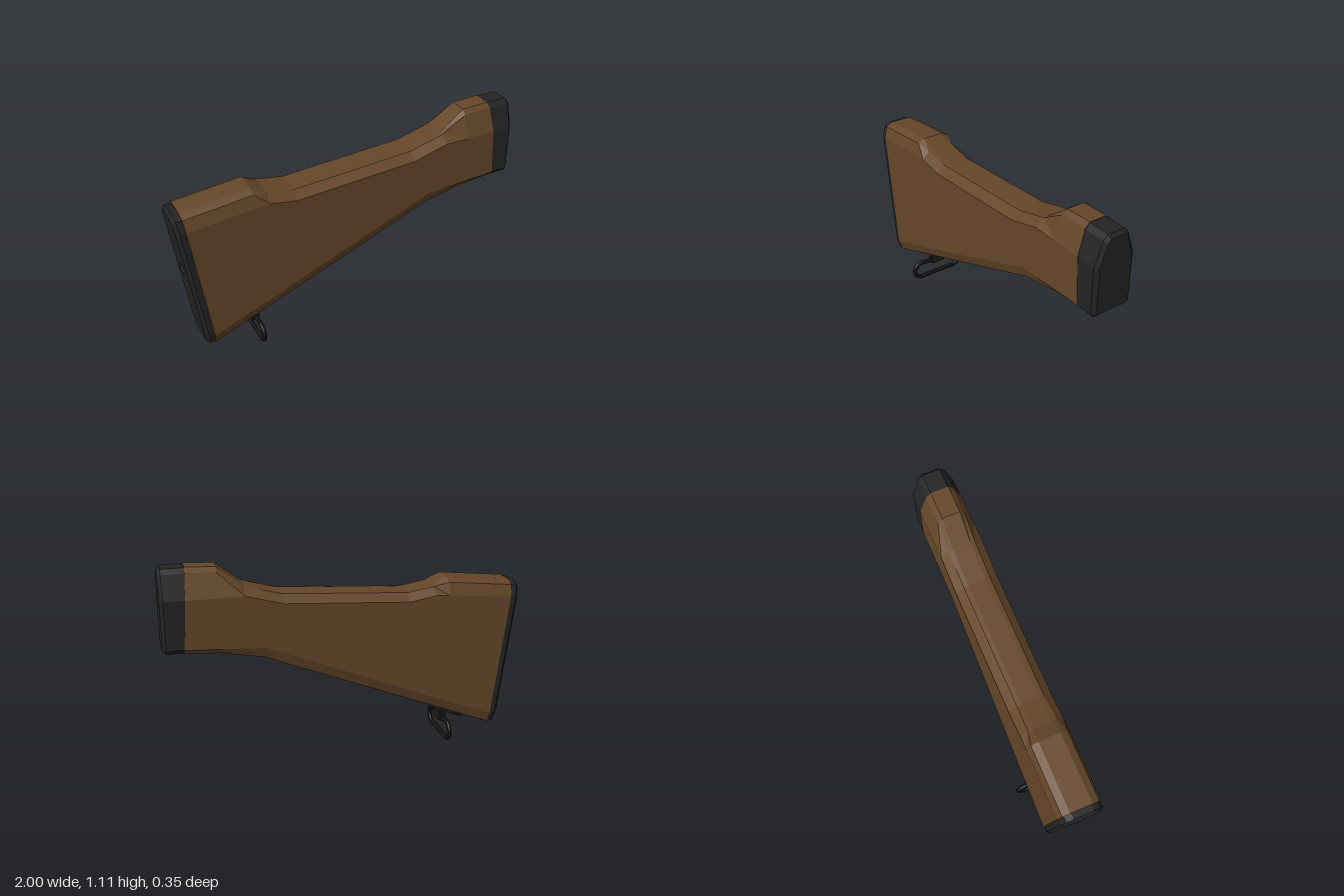
import * as THREE from 'three';

// Mirror a half outline of [x, y, z] points (top to bottom on +z) into a closed ring
const mirrorRing = half => [...half, ...half.map(([x, y, z]) => [x, y, -z]).reverse()];

// Skin a series of rings running from -x to +x
function loft(rings, capBack = true, capFront = true) {
  const n = rings[0].length, pos = [];
  const tri = (...p) => p.forEach(v => pos.push(...v));
  for (let i = 0; i < rings.length - 1; i++) {
    for (let j = 0; j < n; j++) {
      const k = (j + 1) % n;
      const a = rings[i][j], b = rings[i][k], c = rings[i + 1][k], d = rings[i + 1][j];
      tri(a, b, c);
      tri(a, c, d);
    }
  }
  const first = rings[0], last = rings[rings.length - 1];
  for (let j = 1; j < n - 1; j++) {
    if (capBack) tri(first[0], first[j + 1], first[j]);
    if (capFront) tri(last[0], last[j], last[j + 1]);
  }
  const g = new THREE.BufferGeometry();
  g.setAttribute('position', new THREE.Float32BufferAttribute(pos, 3));
  g.computeVertexNormals();
  return g;
}

export function createModel() {
  const model = new THREE.Group();
  const material = (name, color, extra = {}) =>
    Object.assign(new THREE.MeshStandardMaterial({ color, flatShading: true, ...extra }), { name });
  const wood = material('wood', 0x654729);
  const rubber = material('darkCap', 0x242424);
  const metal = material('blackMetal', 0x1b1b1d);
  const holeWall = material('holeWall', 0x2c2c2c, { side: THREE.DoubleSide });

  const add = (name, geometry, mat, parent = model, x = 0, y = 0, z = 0) => {
    const m = new THREE.Mesh(geometry, mat);
    m.name = name;
    m.position.set(x, y, z);
    parent.add(m);
    return m;
  };

  // Slanted end planes
  const rearX = y => -0.95 + (0.925 - y) * 0.127;
  const frontX = y => 0.86 + (1.11 - y) * 0.067;

  // Wooden body: x, top y, top half width, shoulder y, shoulder half width,
  // side top y, side bottom y, chamfer y, chamfer half width, bottom y, bottom half width
  const stations = [
    [rearX, 0.925, 0.06, 0.905, 0.1, 0.84, 0.14, 0.08, 0.1, 0.06, 0.035],
    [-0.57, 0.965, 0.06, 0.945, 0.1, 0.875, 0.25, 0.19, 0.1, 0.17, 0.035],
    [-0.49, 0.925, 0.05, 0.92, 0.08, 0.88, 0.28, 0.222, 0.1, 0.202, 0.035],
    [-0.34, 0.9, 0.05, 0.897, 0.075, 0.855, 0.342, 0.282, 0.1, 0.262, 0.035],
    [0.36, 0.945, 0.05, 0.942, 0.075, 0.9, 0.625, 0.563, 0.1, 0.545, 0.04],
    [0.46, 0.972, 0.05, 0.969, 0.075, 0.928, 0.665, 0.605, 0.1, 0.587, 0.04],
    [0.56, 1.0, 0.05, 0.996, 0.075, 0.955, 0.671, 0.624, 0.1, 0.611, 0.045],
    [0.7, 1.105, 0.05, 1.08, 0.075, 0.955, 0.679, 0.65, 0.097, 0.643, 0.055],
    [frontX, 1.113, 0.05, 1.088, 0.077, 0.955, 0.69, 0.662, 0.093, 0.659, 0.06],
  ];
  add('woodenStock', loft(stations.map(([x, yt, wt, ys, ws, yu, yl, yc, wc, yb, wb]) =>
    mirrorRing([[yt, wt], [ys, ws], [yu, 0.121], [yl, 0.121], [yc, wc], [yb, wb]]
      .map(([y, z]) => [typeof x === 'function' ? x(y) : x, y, z])))), wood);

  // Butt plate with a bevelled rim and a round hole
  const plate = [[0.917, 0.055], [0.9, 0.092], [0.84, 0.115], [0.14, 0.115], [0.08, 0.096], [0.062, 0.033]];
  const plateRing = (dx, inset) => mirrorRing(plate.map(([y, z]) => {
    const v = 0.49 + (y - 0.49) * (1 - inset / 0.43);
    return [rearX(v) + dx, v, z * (1 - inset / 0.115)];
  }));
  const rearRing = plateRing(-0.05, 0.018);
  add('buttPlate', loft([rearRing, plateRing(-0.032, 0), plateRing(0, 0)], false, true), rubber);

  const holeY = 0.56, holeR = 0.034;
  const face = new THREE.Shape(rearRing.map(([, y, z]) => new THREE.Vector2(z, y)));
  const hole = new THREE.Path();
  hole.absarc(0, holeY, holeR, 0, Math.PI * 2, true);
  face.holes.push(hole);
  const faceGeometry = new THREE.ShapeGeometry(face, 6);
  const fp = faceGeometry.attributes.position;
  for (let i = 0; i < fp.count; i++) {
    const z = fp.getX(i), y = fp.getY(i);
    fp.setXYZ(i, rearX(y) - 0.05, y, z);
  }
  faceGeometry.computeVertexNormals();
  add('buttPlateFace', faceGeometry, rubber);
  const wall = new THREE.CylinderGeometry(holeR, holeR, 0.046, 12, 1, true).rotateZ(Math.PI / 2);
  add('buttPlateHole', wall, holeWall, model, rearX(holeY) - 0.026, holeY);

  // Front cap
  const cap = [[1.109, 0.049], [1.084, 0.075], [0.955, 0.119], [0.69, 0.119], [0.668, 0.1]];
  const capInner = [[1.089, 0.043], [1.07, 0.062], [0.948, 0.099], [0.697, 0.099], [0.685, 0.088]];
  const capRing = (profile, x) => mirrorRing(profile.map(([y, z]) => [x(y), y, z]));
  add('frontCap', loft([capRing(cap, frontX), capRing(cap, () => 0.982), capRing(capInner, () => 1)]), rubber);

  // Screw under the wrist
  const screw = add('wristScrew', new THREE.CylinderGeometry(0.038, 0.038, 0.016, 12), metal, model, 0.81, 0.654);
  screw.rotation.z = 0.08;

  // Sling mount plate lying along the sloping underside
  const mount = new THREE.Group();
  mount.name = 'slingMount';
  mount.position.set(-0.62, 0.149, 0);
  mount.rotation.z = 0.382;
  model.add(mount);
  add('mountPlate', new THREE.CylinderGeometry(1, 1, 0.02, 12).scale(0.13, 1, 0.054), metal, mount);
  for (const x of [-0.085, 0.09])
    add('mountScrew', new THREE.CylinderGeometry(0.024, 0.02, 0.012, 10), metal, mount, x, -0.014);
  add('mountBoss', new THREE.CylinderGeometry(0.045, 0.035, 0.03, 10), metal, mount, 0.025, -0.02);

  // Swivel block and loop
  const swivel = new THREE.Group();
  swivel.name = 'slingSwivel';
  swivel.position.x = -0.585;
  model.add(swivel);
  add('swivelBlock', new THREE.BoxGeometry(0.042, 0.05, 0.08), metal, swivel, 0, 0.118);
  add('swivelBarrel', new THREE.CylinderGeometry(0.022, 0.022, 0.09, 10).rotateX(Math.PI / 2), metal, swivel, 0, 0.11);
  const side = [[0.02, 0], [0.02, 0.07], [0.015, 0.125], [0.035, 0.152], [0.063, 0.162],
    [0.09, 0.152], [0.111, 0.125], [0.111, 0.07], [0.111, 0]].map(([y, z]) => [y === 0.02 ? 0.015 : y, z]);
  const loop = [...side, ...side.slice(1, -1).reverse().map(([y, z]) => [y, -z])]
    .map(([y, z]) => new THREE.Vector3(0, y, z));
  add('swivelLoop', new THREE.TubeGeometry(new THREE.CatmullRomCurve3(loop, true), 64, 0.0135, 8, true), metal, swivel);

  return model;
}
